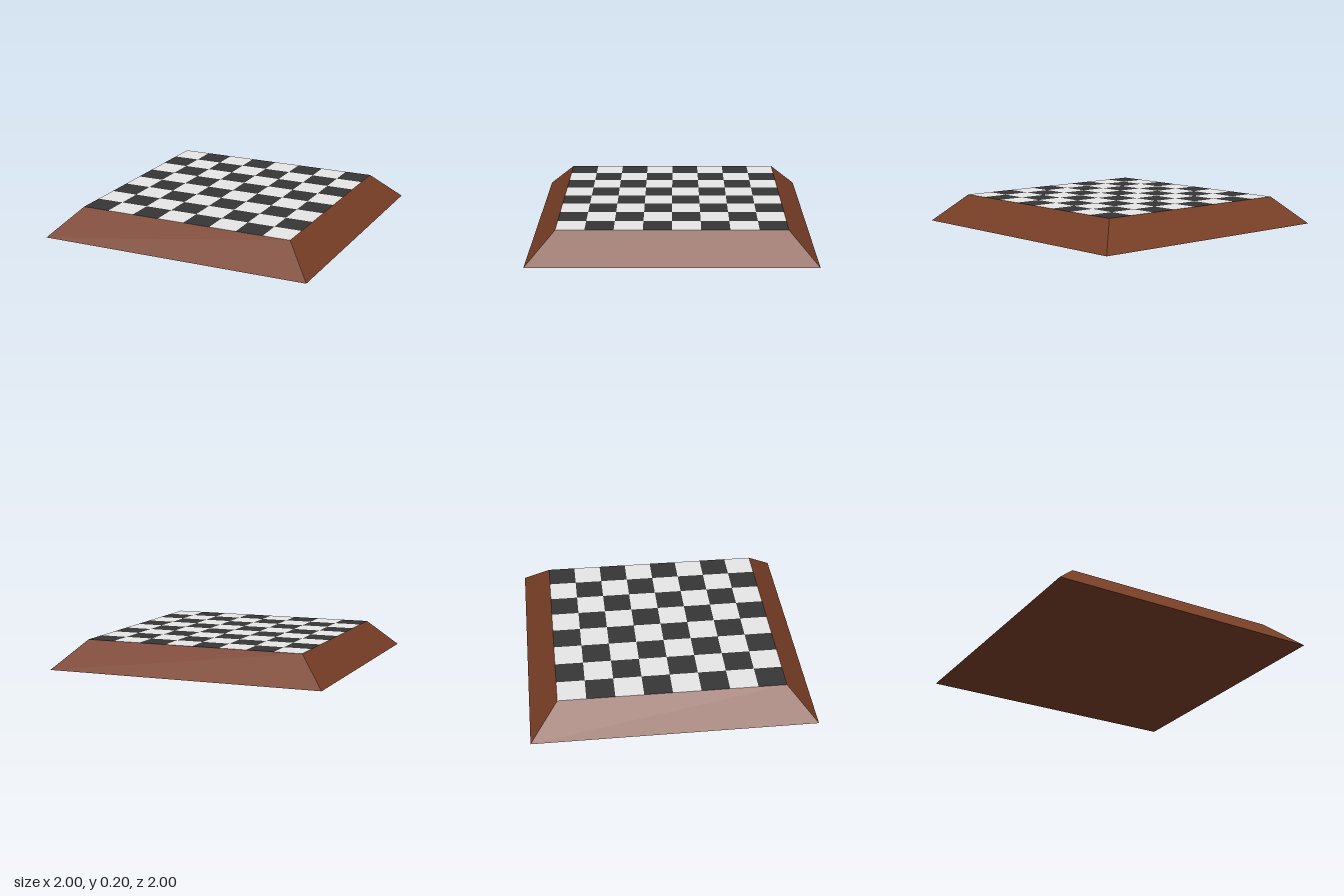
import * as THREE from 'three';
import { mergeGeometries } from 'three/addons/utils/BufferGeometryUtils.js';

const HEIGHT = 0.2, BASE = 2, TOP = 1.6, CELLS = 8;

function material(name, color, flatShading = false) {
  const m = new THREE.MeshStandardMaterial({ color, flatShading });
  m.name = name;
  return m;
}

function addMesh(group, name, geometry, mat) {
  const mesh = new THREE.Mesh(geometry, mat);
  mesh.name = name;
  group.add(mesh);
}

// All squares of one colour, lying flush with the top of the frame
function squares(parity) {
  const size = TOP / CELLS, parts = [];
  for (let row = 0; row < CELLS; row++) {
    for (let col = 0; col < CELLS; col++) {
      if ((row + col) % 2 !== parity) continue;
      parts.push(new THREE.PlaneGeometry(size, size)
        .rotateX(-Math.PI / 2)
        .translate((col + 0.5) * size - TOP / 2, HEIGHT, (row + 0.5) * size - TOP / 2));
    }
  }
  return mergeGeometries(parts);
}

export function createModel() {
  const group = new THREE.Group();
  group.name = 'checkerBoard';
  const wood = material('brown wood', 0x783e26, true);

  // Sloping frame: four-sided open frustum
  const frame = new THREE.CylinderGeometry(TOP / Math.SQRT2, BASE / Math.SQRT2, HEIGHT, 4, 1, true)
    .rotateY(Math.PI / 4)
    .translate(0, HEIGHT / 2, 0);
  addMesh(group, 'slopingFrame', frame, wood);

  // Underside
  addMesh(group, 'underside', new THREE.PlaneGeometry(BASE, BASE).rotateX(Math.PI / 2), wood);

  // Playing surface, light square at the back right corner
  addMesh(group, 'lightSquares', squares(0), material('off white', 0xf0f0f0));
  addMesh(group, 'darkSquares', squares(1), material('charcoal', 0x363636));
  return group;
}
